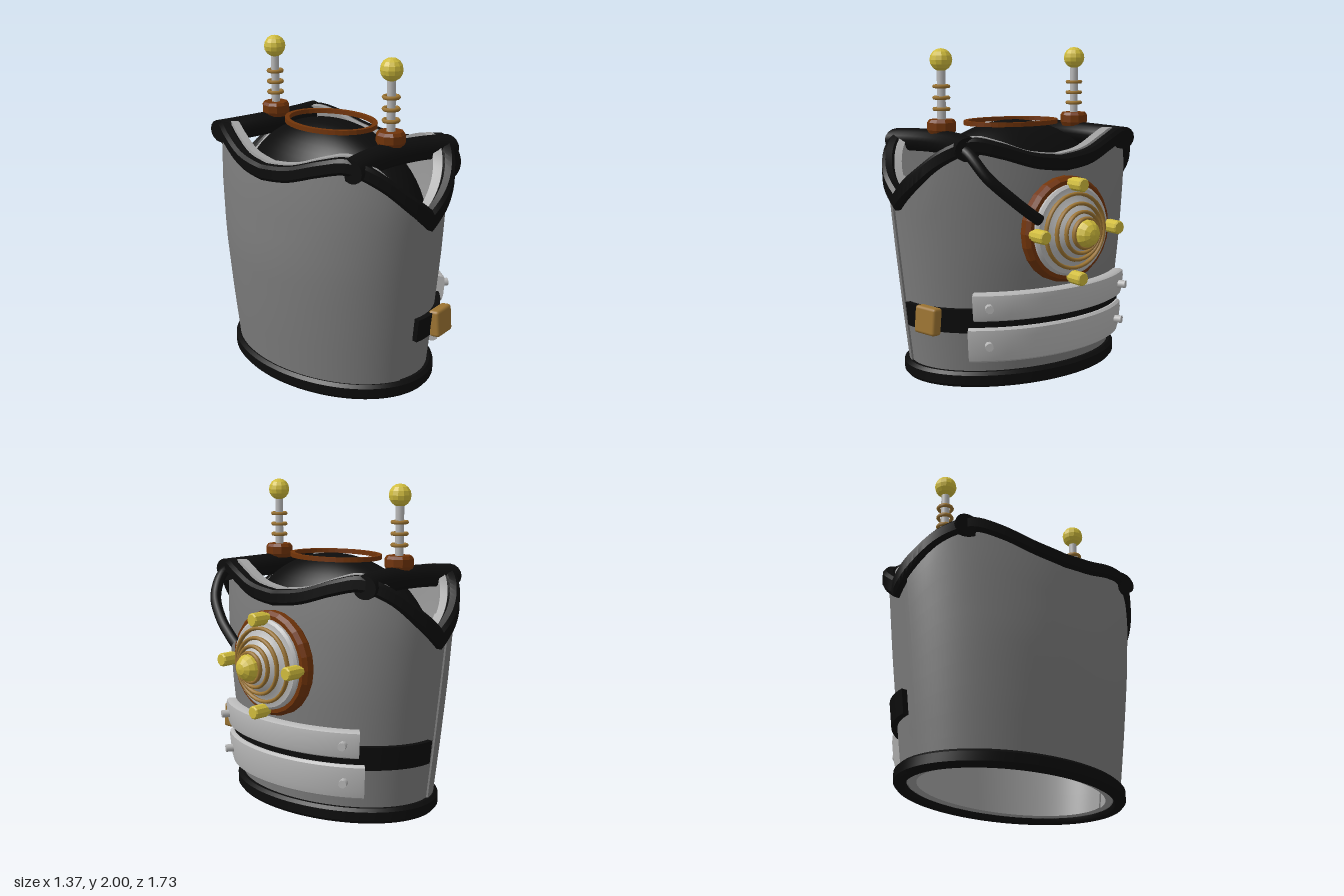
import * as THREE from 'three';
import { toCreasedNormals } from 'three/addons/utils/BufferGeometryUtils.js';
import { RoundedBoxGeometry } from 'three/addons/geometries/RoundedBoxGeometry.js';

const CX = -0.13; // middle of the oval torso

// Piecewise-linear lookup in [position, value] pairs
function lookup(table, t) {
  let i = 1;
  while (i < table.length - 1 && t > table[i][0]) i++;
  const [a, va] = table[i - 1], [b, vb] = table[i];
  return va + (vb - va) * THREE.MathUtils.clamp((t - a) / (b - a), 0, 1);
}
const radiusX = y => lookup([[0, 0.475], [0.1, 0.485], [0.4, 0.517], [0.8, 0.546], [1.2, 0.53], [1.5, 0.495]], y);
const radiusZ = y => lookup([[0, 0.69], [0.1, 0.7], [0.4, 0.735], [0.8, 0.78], [1.2, 0.828], [1.5, 0.835]], y);
const onBody = (a, y, off, yr = y) => new THREE.Vector3(
  CX + (radiusX(yr) + off) * Math.cos(a), y, (radiusZ(yr) + off) * Math.sin(a));

// Height of the wavy neckline: shoulders high, V-notches at both ends of z
const rimCurve = new THREE.SplineCurve([[0, 1.33], [14, 1.355], [29, 1.42], [42, 1.45], [57, 1.38], [72, 1.26], [90, 1.12]]
  .map(p => new THREE.Vector2(...p)));
const rimTable = rimCurve.getPoints(48).map(p => [p.x, p.y]);
const rimY = a => lookup(rimTable, THREE.MathUtils.radToDeg(Math.asin(Math.min(1, Math.abs(Math.sin(a))))));

// Skin over a row of equal-sized closed loops
function loft(rings, closed = false) {
  const m = rings[0].length, n = rings.length, index = [];
  const id = (i, j) => (i % n) * m + (j % m);
  for (let i = 0; i < (closed ? n : n - 1); i++)
    for (let j = 0; j < m; j++)
      index.push(id(i, j), id(i, j + 1), id(i + 1, j), id(i, j + 1), id(i + 1, j + 1), id(i + 1, j));
  if (!closed)
    for (let j = 0; j < m / 2 - 1; j++) {
      const k = m - 1 - j, e = n - 1;
      index.push(id(0, j), id(0, k), id(0, j + 1), id(0, j + 1), id(0, k), id(0, k - 1));
      index.push(id(e, j), id(e, j + 1), id(e, k), id(e, j + 1), id(e, k - 1), id(e, k));
    }
  const g = new THREE.BufferGeometry().setFromPoints(rings.flat());
  g.setIndex(index);
  return toCreasedNormals(g, 0.6);
}

// Sweep a section of points around the torso from angle a0 to a1 (degrees)
function wrap(section, a0, a1, n) {
  const closed = a1 - a0 === 360, rings = [];
  for (let i = 0; i < (closed ? n : n + 1); i++)
    rings.push(section(THREE.MathUtils.degToRad(a0 + (a1 - a0) * i / n)));
  return loft(rings, closed);
}

export function createModel() {
  const model = new THREE.Group();
  const paint = (name, color, extra = {}) => Object.assign(new THREE.MeshStandardMaterial({ color }), { name }, extra);
  const shell = paint('shellGrey', 0x7c7c7c);
  const lining = paint('liningGrey', 0xa0a0a0);
  const steel = paint('paleSteel', 0xb8b8b8);
  const black = paint('black', 0x0c0c0c);
  const brown = paint('copperBrown', 0x713409, { flatShading: true });
  const bronze = paint('bronze', 0x9c7432);
  const gold = paint('gold', 0xd0bc3c, { flatShading: true });
  const add = (name, geometry, material, x = 0, y = 0, z = 0, parent = model) => {
    const mesh = new THREE.Mesh(geometry, material);
    mesh.name = name;
    mesh.position.set(x, y, z);
    parent.add(mesh);
    return mesh;
  };

  // Torso wall in two halves, the back half overlapping slightly at the seams
  const wall = (outer, inner, lift) => a => {
    const top = rimY(a) + lift, up = [], down = [];
    for (let k = 0; k <= 10; k++) {
      const y = 0.03 + (top - 0.03) * k / 10;
      up.push(onBody(a, y, outer));
      down.unshift(onBody(a, y, inner));
    }
    return [...up, ...down];
  };
  add('frontShell', wrap(wall(0, -0.035, 0), -100, 100, 80), shell);
  add('backShell', wrap(wall(0.012, -0.035, 0), 100, 260, 64), shell);
  add('frontLining', wrap(wall(-0.03, -0.085, 0.05), -100, 100, 80), lining);
  add('backLining', wrap(wall(-0.03, -0.075, 0.05), 100, 260, 64), lining);

  // Neckline and hem trims
  const trim = [[0.03, -0.05], [0.045, -0.03], [0.045, 0.03], [0.025, 0.05], [-0.015, 0.05], [-0.03, 0.035], [-0.03, -0.03], [-0.02, -0.05]];
  add('necklineTrim', wrap(a => {
    const y = rimY(a), tall = 0.92 + 0.35 * Math.abs(Math.sin(a)) ** 8;
    return trim.map(([o, h]) => onBody(a, y + h * tall, o, y));
  }, 0, 360, 120), black);
  add('hemTrim', wrap(a => trim.map(([o, h]) => onBody(a, 0.05 + h * 0.92, o, 0.05)), 0, 360, 96), black);

  // Dark egg-shaped core inside the torso, with an oval collar on top
  add('innerDome', new THREE.SphereGeometry(1, 48, 32).scale(0.42, 0.6, 0.72), black, CX, 0.953, 0);
  const oval = new THREE.Shape().absellipse(0, 0, 0.243, 0.32, 0, Math.PI * 2);
  oval.holes.push(new THREE.Path().absellipse(0, 0, 0.215, 0.292, 0, Math.PI * 2));
  add('collarRing', new THREE.ExtrudeGeometry(oval, { depth: 0.027, bevelEnabled: false, curveSegments: 20 })
    .rotateX(-Math.PI / 2), brown, CX, 1.527, 0);

  for (const s of [1, -1]) {
    // Shoulder bar, wider at its ends
    const rings = [];
    for (let i = 0; i <= 16; i++) {
      const u = i / 8 - 1, w = u * u;
      rings.push(Array.from({ length: 16 }, (_, j) => {
        const t = j / 8 * Math.PI;
        return new THREE.Vector3(CX + u * 0.395, 1.445 - 0.012 * w + 0.07 * Math.cos(t),
          s * (0.53 + 0.065 * w) + (0.085 + 0.005 * w) * Math.sin(t));
      }));
    }
    add('shoulderBar', loft(rings), black);

    // Antenna
    const antenna = new THREE.Group();
    antenna.name = 'antenna';
    antenna.position.set(CX - 0.005, 0, s * 0.515);
    model.add(antenna);
    const base = [[0, 1.49], [0.075, 1.49], [0.087, 1.515], [0.087, 1.56], [0.075, 1.578], [0, 1.578]];
    add('antennaBase', new THREE.LatheGeometry(base.map(p => new THREE.Vector2(...p)), 10), brown, 0, 0, 0, antenna);
    add('antennaRod', new THREE.CylinderGeometry(0.026, 0.026, 0.34, 12), steel, 0, 1.73, 0, antenna);
    for (const y of [1.64, 1.707, 1.775])
      add('antennaRing', new THREE.TorusGeometry(0.043, 0.012, 6, 14).rotateX(Math.PI / 2), bronze, 0, y, 0, antenna);
    add('antennaBall', new THREE.SphereGeometry(0.068, 12, 8), gold, 0, 1.932, 0, antenna);
  }

  // Round chest device, axis along +x
  const turned = (pts, n) => toCreasedNormals(
    new THREE.LatheGeometry(pts.map(p => new THREE.Vector2(...p)), n).rotateZ(-Math.PI / 2), 0.6);
  const device = new THREE.Group();
  device.name = 'chestDevice';
  device.position.set(0, 0.935, 0);
  model.add(device);
  add('deviceRim', turned([[0.29, 0.36], [0.31, 0.38], [0.32, 0.395], [0.32, 0.435], [0.3, 0.46], [0.26, 0.46]], 24), brown, 0, 0, 0, device);
  add('deviceCone', turned([[0.275, 0.44], [0.275, 0.475], [0.26, 0.49], [0.215, 0.495], [0.15, 0.54], [0.1, 0.58], [0, 0.6]], 32), steel, 0, 0, 0, device);
  for (const [r, x] of [[0.222, 0.507], [0.168, 0.54], [0.123, 0.572], [0.088, 0.6]])
    add('deviceRing', new THREE.TorusGeometry(r, 0.0115, 8, 32).scale(1, 1, 1.3).rotateY(Math.PI / 2), bronze, x, 0, 0, device);
  add('deviceBall', new THREE.SphereGeometry(0.086, 12, 8).rotateZ(-Math.PI / 2), gold, 0.597, 0, 0, device);
  for (let i = 0; i < 4; i++) {
    const t = i * Math.PI / 2;
    add('deviceStud', turned([[0, 0.455], [0.03, 0.455], [0.03, 0.48], [0.041, 0.486], [0.041, 0.577], [0.034, 0.585], [0, 0.585]], 10),
      gold, 0, 0.28 * Math.cos(t), 0.28 * Math.sin(t), device);
  }

  // Hose from the shoulder to the chest device
  const hose = new THREE.CatmullRomCurve3([[0.18, 1.44, 0.61], [0.28, 1.41, 0.605], [0.39, 1.28, 0.55],
    [0.455, 1.15, 0.42], [0.475, 1.07, 0.32], [0.485, 1.02, 0.25]].map(p => new THREE.Vector3(...p)));
  add('hose', new THREE.TubeGeometry(hose, 32, 0.034, 10), black);

  // Belt and buckle
  const strip = (y0, y1, off) => a => [[off, y0], [off, y1], [-0.01, y1], [-0.01, y0]].map(([o, y]) => onBody(a, y, o));
  add('belt', wrap(strip(0.345, 0.49, 0.035), -92, 92, 64), black);
  const buckle = add('buckle', new RoundedBoxGeometry(0.165, 0.165, 0.07, 2, 0.018), bronze, 0.065, 0.42, 0.755);
  buckle.rotation.set(-0.08, 0.22, 0);

  // Two padded belly plates with bolts
  for (const [y0, y1, reach, boltAngle] of [[0.42, 0.59, 46, 38.5], [0.165, 0.38, 49, 39]]) {
    const h = y1 - y0;
    const pad = [[0.045, 0], [0.062, 0.06], [0.068, 0.25], [0.068, 0.75], [0.062, 0.94], [0.045, 1], [-0.01, 1], [-0.01, 0.75], [-0.01, 0.25], [-0.01, 0]];
    add('bellyPlate', wrap(a => pad.map(([o, k]) => onBody(a, y0 + k * h, o)), -reach, reach, 48), steel);
    for (const s of [1, -1]) {
      const a = s * THREE.MathUtils.degToRad(boltAngle), y = (y0 + y1) / 2 + 0.005;
      const out = new THREE.Vector3(Math.cos(a) / radiusX(y), 0, Math.sin(a) / radiusZ(y)).normalize();
      const p = onBody(a, y, 0.06).addScaledVector(out, 0.015);
      const bolt = add('plateBolt', new THREE.CylinderGeometry(0.025, 0.025, 0.08, 8), steel, p.x, p.y, p.z);
      bolt.quaternion.setFromUnitVectors(new THREE.Vector3(0, 1, 0), out);
    }
  }
  return model;
}
